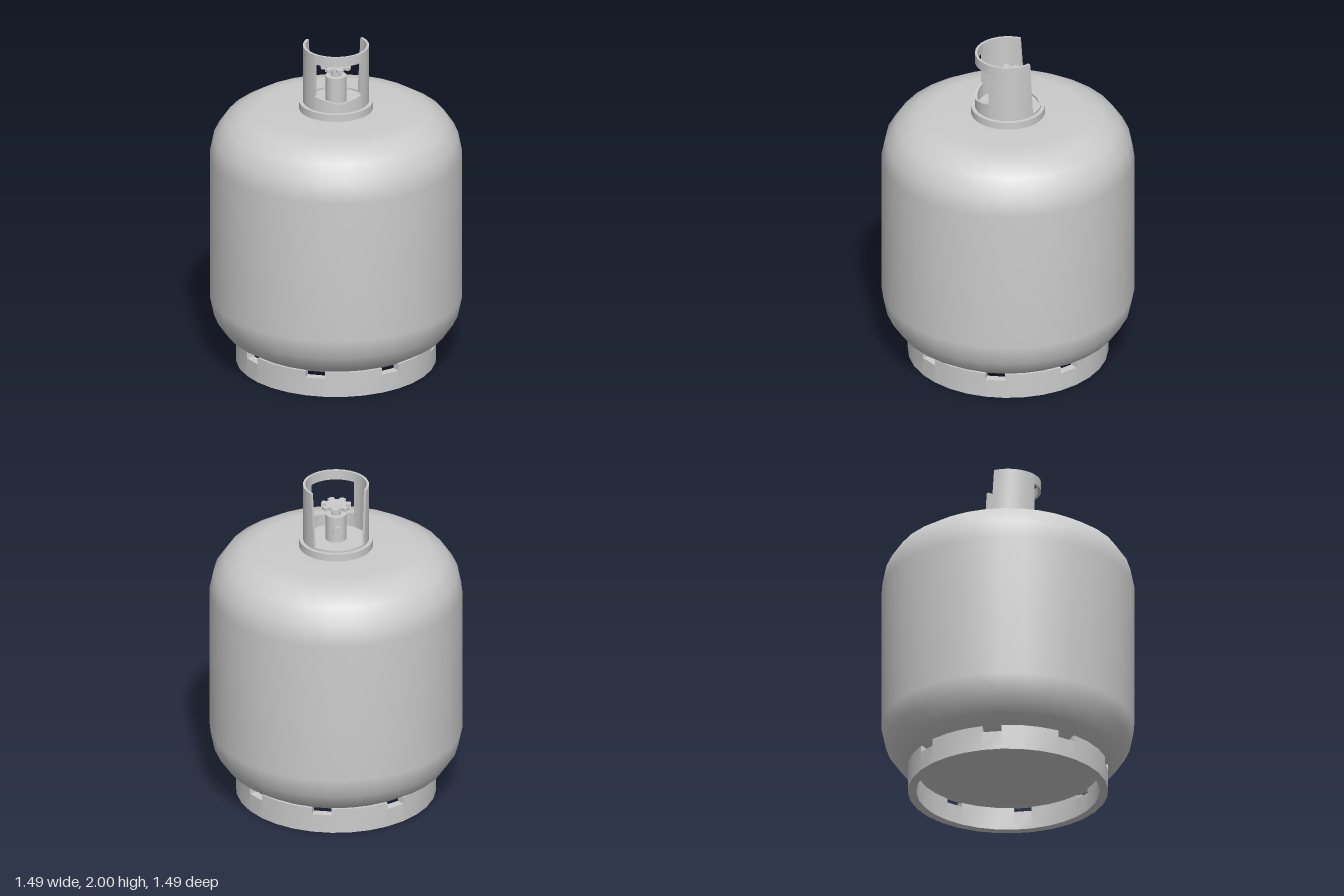
import * as THREE from 'three';
import { toCreasedNormals } from 'three/addons/utils/BufferGeometryUtils.js';

const SIDES = 32;
const RAD = Math.PI / 180;

// Curved wall swept round the y axis; each section is { a0, y0, a1, y1 }:
// angle (degrees from +z) and height of its lower and upper edge.
function curvedWall(sections, rIn, rOut, closed = false) {
  const pos = [];
  const point = (r, a, y) => [r * Math.sin(a * RAD), y, r * Math.cos(a * RAD)];
  const quad = (a, b, c, d) => pos.push(...a, ...b, ...c, ...a, ...c, ...d);
  const loops = sections.map(({ a0, y0, a1, y1 }) => [
    point(rOut, a0, y0), point(rOut, a1, y1), point(rIn, a1, y1), point(rIn, a0, y0),
  ]);
  for (let i = 0; i < loops.length - 1; i++) {
    const p = loops[i], q = loops[i + 1];
    for (let k = 0; k < 4; k++) {
      const n = (k + 1) % 4;
      quad(p[k], q[k], q[n], p[n]);
    }
  }
  if (!closed) {
    quad(...loops[0]);
    quad(...loops[loops.length - 1].slice().reverse());
  }
  const geo = new THREE.BufferGeometry();
  geo.setAttribute('position', new THREE.Float32BufferAttribute(pos, 3));
  return toCreasedNormals(geo, 0.5);
}

// Evenly spaced sections between two angles; the upper edge may have its own range.
function arc(from, to, steps, y0, y1, topFrom = from, topTo = to) {
  const at = (y, a) => (typeof y === 'function' ? y(a) : y);
  return Array.from({ length: steps + 1 }, (_, i) => {
    const t = i / steps;
    const a0 = from + (to - from) * t, a1 = topFrom + (topTo - topFrom) * t;
    return { a0, y0: at(y0, a0), a1, y1: at(y1, a1) };
  });
}

export function createModel() {
  const group = new THREE.Group();
  const material = new THREE.MeshStandardMaterial({ color: 0xcccccc });
  const add = (name, geometry, parent = group) => {
    const mesh = new THREE.Mesh(geometry, material);
    mesh.name = name;
    parent.add(mesh);
    return mesh;
  };
  const cylinder = (r, y0, y1, sides) =>
    new THREE.CylinderGeometry(r, r, y1 - y0, sides).translate(0, (y0 + y1) / 2, 0);

  // Tank: the upper shoulder is mirrored to the bottom
  const shoulder = [[0.745, 1.3], [0.72, 1.42], [0.655, 1.515], [0.555, 1.577], [0.44, 1.6], [0, 1.6]];
  const profile = [
    ...shoulder.map(([r, y]) => [r, 1.72 - y]).reverse(),
    ...shoulder,
  ].map(([r, y]) => new THREE.Vector2(r, y));
  add('tank', new THREE.LatheGeometry(profile, SIDES));

  // Foot ring with eight notches in its top edge
  const step = 360 / SIDES;
  const footSections = [];
  for (let j = 0; j < SIDES; j++) {
    const top = j % 4 === 2 ? 0.115 : 0.155;
    footSections.push(...arc(j * step, (j + 1) * step, 1, 0, top));
  }
  add('footRing', curvedWall(footSections, 0.54, 0.59, true));

  // Collar plate on top of the tank
  add('collar', cylinder(0.218, 1.59, 1.645, SIDES));

  // Valve guard: two side walls, a front window and a low rim at the open back
  const guard = new THREE.Group();
  guard.name = 'valveGuard';
  group.add(guard);
  const rIn = 0.18, rOut = 0.195, base = 1.64, top = 2, win = 45;
  add('guardLeftWall', curvedWall(arc(win, 130, 8, base, top, win, 122.5), rIn, rOut), guard);
  add('guardRightWall', curvedWall(arc(-130, -win, 8, base, top, -122.5, -win), rIn, rOut), guard);
  add('guardTopBand', curvedWall(arc(-win, win, 8, 1.94, top), rIn, rOut), guard);
  const sill = (a) => 1.7 + 0.035 * Math.abs(a) / win;
  add('guardSill', curvedWall(arc(-win, win, 8, base, sill), rIn, rOut), guard);
  add('guardBackRim', curvedWall(arc(130, 230, 9, base, 1.658), rIn, rOut), guard);

  // Valve body, spindle and rear outlet
  const valve = new THREE.Group();
  valve.name = 'valve';
  group.add(valve);
  add('valveBody', cylinder(0.062, 1.64, 1.808, 20), valve);
  add('valveSpindle', cylinder(0.03, 1.8, 1.856, 16), valve);
  add('valveOutlet', cylinder(0.024, 0.04, 0.075, 16).rotateX(-Math.PI / 2).translate(0, 1.73, 0), valve);
  add('outletCollar', cylinder(0.031, 0.072, 0.095, 16).rotateX(-Math.PI / 2).translate(0, 1.73, 0), valve);

  // Handwheel with square lobes
  const lobes = 7;
  const outline = [];
  for (let i = 0; i < lobes; i++) {
    const mid = (i / lobes) * Math.PI * 2 + Math.PI;
    for (const [r, d] of [[0.064, -0.27], [0.088, -0.22], [0.09, 0], [0.088, 0.22], [0.064, 0.27]]) {
      outline.push(new THREE.Vector2(r * Math.cos(mid + d), r * Math.sin(mid + d)));
    }
  }
  const wheel = new THREE.ExtrudeGeometry(new THREE.Shape(outline), { depth: 0.018, bevelEnabled: false });
  add('handwheel', wheel.rotateX(-Math.PI / 2).translate(0, 1.853, 0), valve);

  return group;
}
